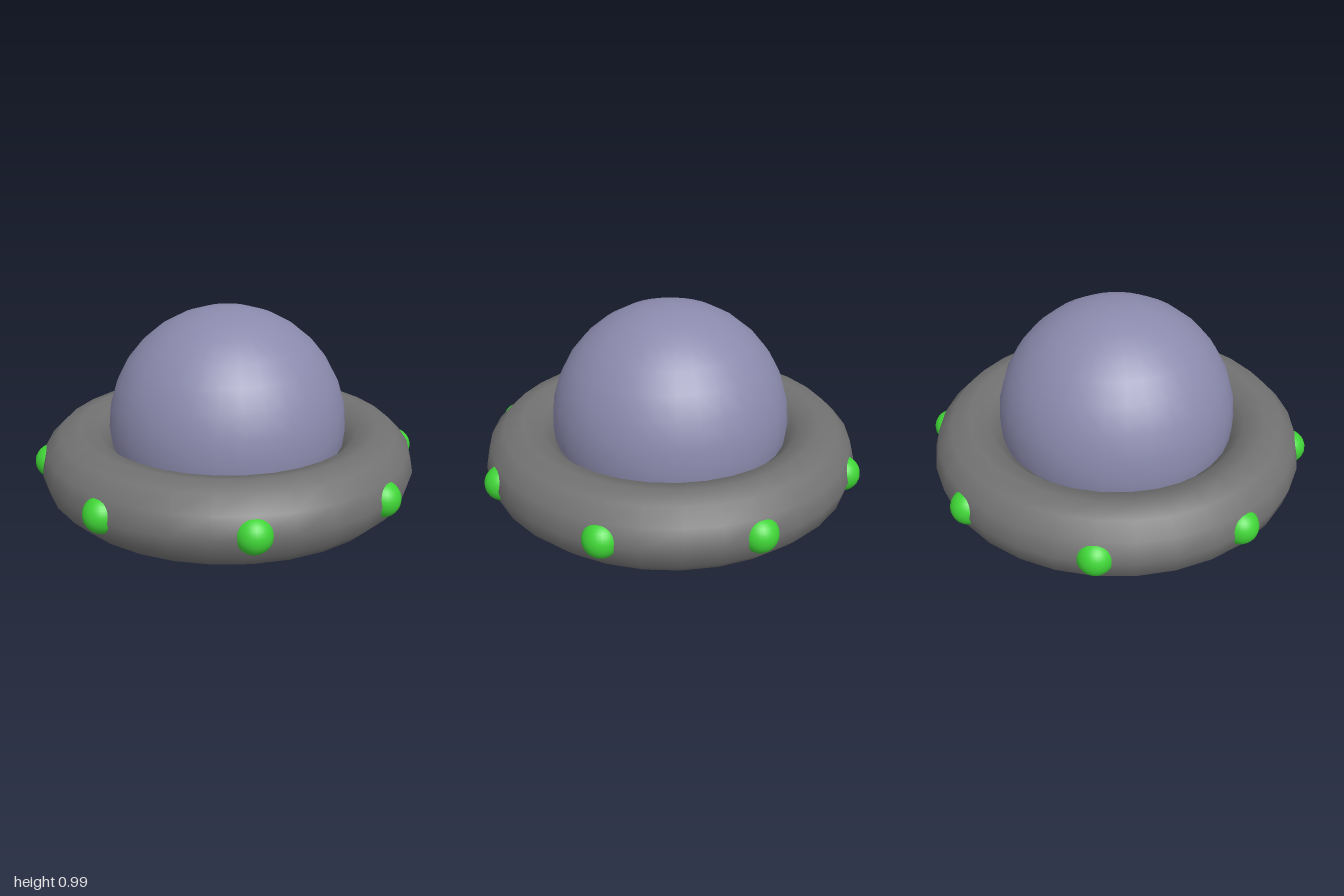
import * as THREE from 'three';

const material = (name, color) => {
  const m = new THREE.MeshStandardMaterial({ color });
  m.name = name;
  return m;
};

export function createModel() {
  const group = new THREE.Group();
  const grey = material('hullGrey', 0x727272);
  const lilac = material('domeLilac', 0x8b8aad);
  const green = material('lightGreen', 0x3fd436);

  const add = (name, geometry, mat, x, y, z) => {
    const mesh = new THREE.Mesh(geometry, mat);
    mesh.name = name;
    mesh.position.set(x, y, z);
    group.add(mesh);
    return mesh;
  };

  // Ring hull, lying flat
  const ringY = 0.194;
  add('ringHull', new THREE.TorusGeometry(0.768, 0.194, 12, 32).rotateX(Math.PI / 2), grey, 0, ringY, 0);

  // Floor plate closing the hole, facing down
  add('floorPlate', new THREE.CircleGeometry(0.64, 32).rotateX(Math.PI / 2), grey, 0, ringY, 0);

  // Dome, running a little past its equator into the ring
  add('dome', new THREE.SphereGeometry(0.613, 32, 9, 0, Math.PI * 2, 0, Math.PI * 9 / 16), lilac, 0, 0.375, 0);

  // Eight round lights around the rim
  const bulb = new THREE.SphereGeometry(0.088, 24, 16);
  for (let i = 0; i < 8; i++) {
    const a = i * Math.PI / 4;
    add('rimLight' + (i + 1), bulb, green, Math.sin(a) * 0.912, 0.198, Math.cos(a) * 0.912).rotation.y = a;
  }
  return group;
}
